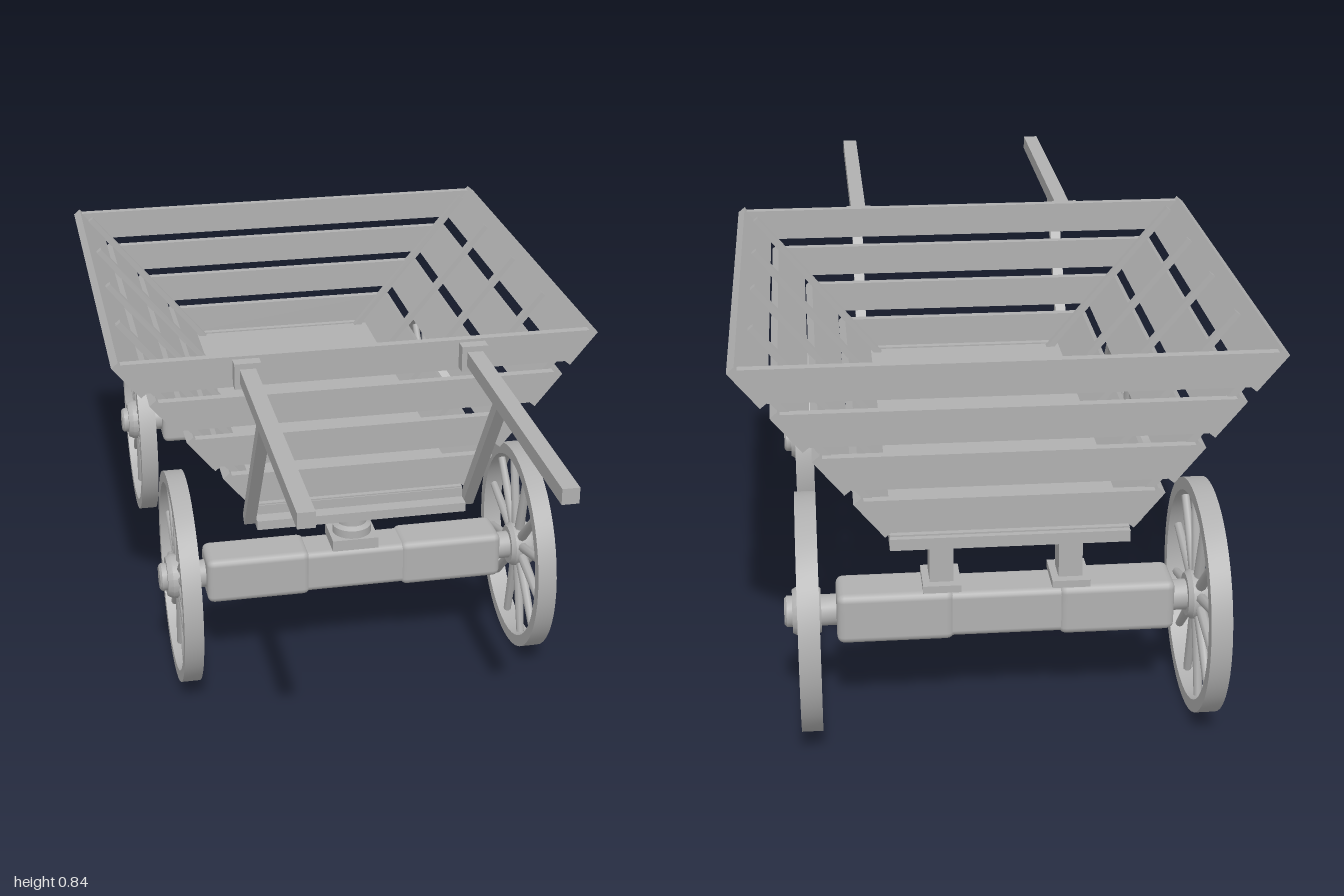
import * as THREE from 'three';
import { toCreasedNormals } from 'three/addons/utils/BufferGeometryUtils.js';
import { RoundedBoxGeometry } from 'three/addons/geometries/RoundedBoxGeometry.js';

const wood = new THREE.MeshStandardMaterial({ color: 0xb0b0b0 });
wood.name = 'grey wood';

function add(parent, name, geometry, x = 0, y = 0, z = 0) {
  const mesh = new THREE.Mesh(geometry, wood);
  mesh.name = name;
  mesh.position.set(x, y, z);
  parent.add(mesh);
  return mesh;
}
const box = (w, h, d) => new THREE.BoxGeometry(w, h, d);

function lathe(points, segments) {
  const g = new THREE.LatheGeometry(points.map(p => new THREE.Vector2(...p)), segments);
  return toCreasedNormals(g, 0.6);
}

// Box spanning two points in the y-z plane
function bar(parent, name, x, y0, z0, y1, z1, width, thick) {
  const length = Math.hypot(y1 - y0, z1 - z0);
  const mesh = add(parent, name, box(width, length, thick), x, (y0 + y1) / 2, (z0 + z1) / 2);
  mesh.rotation.x = Math.atan2(z1 - z0, y1 - y0);
}

// Spoked wheel around its local y axis, +y pointing outwards
function makeWheel(name) {
  const wheel = new THREE.Group();
  wheel.name = name;
  add(wheel, 'rim', lathe([[0.223, -0.022], [0.25, -0.022], [0.25, 0.022], [0.223, 0.022], [0.223, -0.022]], 48));
  add(wheel, 'hub', lathe([
    [0, -0.065], [0.033, -0.065], [0.033, -0.026], [0.046, -0.026], [0.053, -0.016], [0.053, 0.022],
    [0.046, 0.034], [0.033, 0.034], [0.033, 0.046], [0.027, 0.051], [0, 0.051]], 20));
  for (let i = 0; i < 12; i++) {
    const angle = (i + 0.5) * Math.PI / 6;
    const spoke = add(wheel, 'spoke', new THREE.CylinderGeometry(0.009, 0.012, 0.19, 8));
    spoke.position.set(Math.cos(angle) * 0.135, 0, Math.sin(angle) * 0.135);
    spoke.quaternion.setFromUnitVectors(new THREE.Vector3(0, 1, 0),
      new THREE.Vector3(Math.cos(angle), 0, Math.sin(angle)));
  }
  return wheel;
}

const FRONT = 0.265, BACK = -0.835, MID = (FRONT + BACK) / 2, LENGTH = FRONT - BACK;
const SLOPE = 0.825, TILT = Math.atan(SLOPE);
const wallX = y => 0.277 + (y - 0.51) * SLOPE; // middle of the sloping side wall

function makeBody() {
  const body = new THREE.Group();
  body.name = 'body';
  add(body, 'floor', box(0.49, 0.025, LENGTH + 0.015), 0, 0.452, MID - 0.005);
  add(body, 'frontFloorPlate', box(0.49, 0.022, 0.23), 0, 0.431, 0.187);

  for (let i = 0; i < 4; i++) {
    const y = 0.51 + i * 0.0965;
    // Sloping side planks
    for (const s of [-1, 1]) {
      const plank = add(body, 'sidePlank', box(0.02, 0.098, LENGTH), s * wallX(y), y - 0.002, MID);
      plank.rotation.z = -s * TILT;
    }
    // Trapezoid end planks
    const lo = y - 0.036, hi = y + 0.036;
    const a = wallX(lo) - 0.008, b = wallX(hi) - 0.008;
    const shape = new THREE.Shape([[-a, lo], [a, lo], [b, hi], [-b, hi]].map(p => new THREE.Vector2(...p)));
    for (const z of [FRONT - 0.02, BACK]) {
      add(body, 'endPlank', new THREE.ExtrudeGeometry(shape, { depth: 0.02, bevelEnabled: false }), 0, 0, z);
    }
  }
  // Low sills under the end planks
  for (const z of [FRONT - 0.01, BACK + 0.01]) add(body, 'endSill', box(0.49, 0.028, 0.02), 0, 0.454, z);

  // Battens holding the side planks
  for (let i = 0; i < 5; i++) {
    for (const s of [-1, 1]) {
      const batten = add(body, 'sideBatten', box(0.016, 0.48, 0.018), s * (wallX(0.635) - 0.019), 0.635, 0.23 - i * 0.26);
      batten.rotation.z = -s * TILT;
    }
  }
  return body;
}

// Axle beam with thicker end sections
function makeAxle(name, z) {
  const axle = new THREE.Group();
  axle.name = name;
  axle.position.set(0, 0.255, z);
  add(axle, 'middleBeam', new RoundedBoxGeometry(0.3, 0.102, 0.102, 2, 0.014));
  for (const s of [-1, 1]) {
    add(axle, 'endBeam', new RoundedBoxGeometry(0.245, 0.112, 0.112, 2, 0.016), s * 0.2325);
    const wheel = makeWheel(s > 0 ? 'leftWheel' : 'rightWheel');
    wheel.position.x = s * 0.4125;
    wheel.rotation.z = -s * Math.PI / 2;
    axle.add(wheel);
  }
  return axle;
}

export function createModel() {
  const cart = new THREE.Group();
  cart.name = 'handcart';
  cart.add(makeBody(), makeAxle('frontAxle', 0.18), makeAxle('rearAxle', -0.74));

  // Steering pivot above the front axle
  add(cart, 'pivotBase', box(0.11, 0.027, 0.1), 0, 0.32, 0.18);
  add(cart, 'pivotPost', lathe([
    [0, 0.33], [0.046, 0.33], [0.046, 0.353], [0.035, 0.36], [0.035, 0.395], [0.043, 0.402], [0.043, 0.422], [0, 0.422]], 24),
  0, 0, 0.18);

  // Rear posts with foot and head pads
  for (const s of [-1, 1]) {
    add(cart, 'rearPost', box(0.05, 0.13, 0.06), s * 0.135, 0.37, -0.74);
    add(cart, 'rearPostFoot', box(0.08, 0.016, 0.1), s * 0.135, 0.317, -0.74);
    add(cart, 'rearPostHead', box(0.076, 0.026, 0.11), s * 0.135, 0.428, -0.74);
  }

  // Push shafts, sockets and diagonal braces
  for (const s of [-1, 1]) {
    add(cart, 'shaft', box(0.036, 0.034, 0.73), s * 0.258, 0.799, 0.635);
    add(cart, 'shaftSocket', box(0.06, 0.06, 0.03), s * 0.258, 0.799, 0.279);
    bar(cart, 'shaftBrace', s * 0.258, 0.43, 0.262, 0.787, 0.515, 0.026, 0.026);
  }
  return cart;
}
